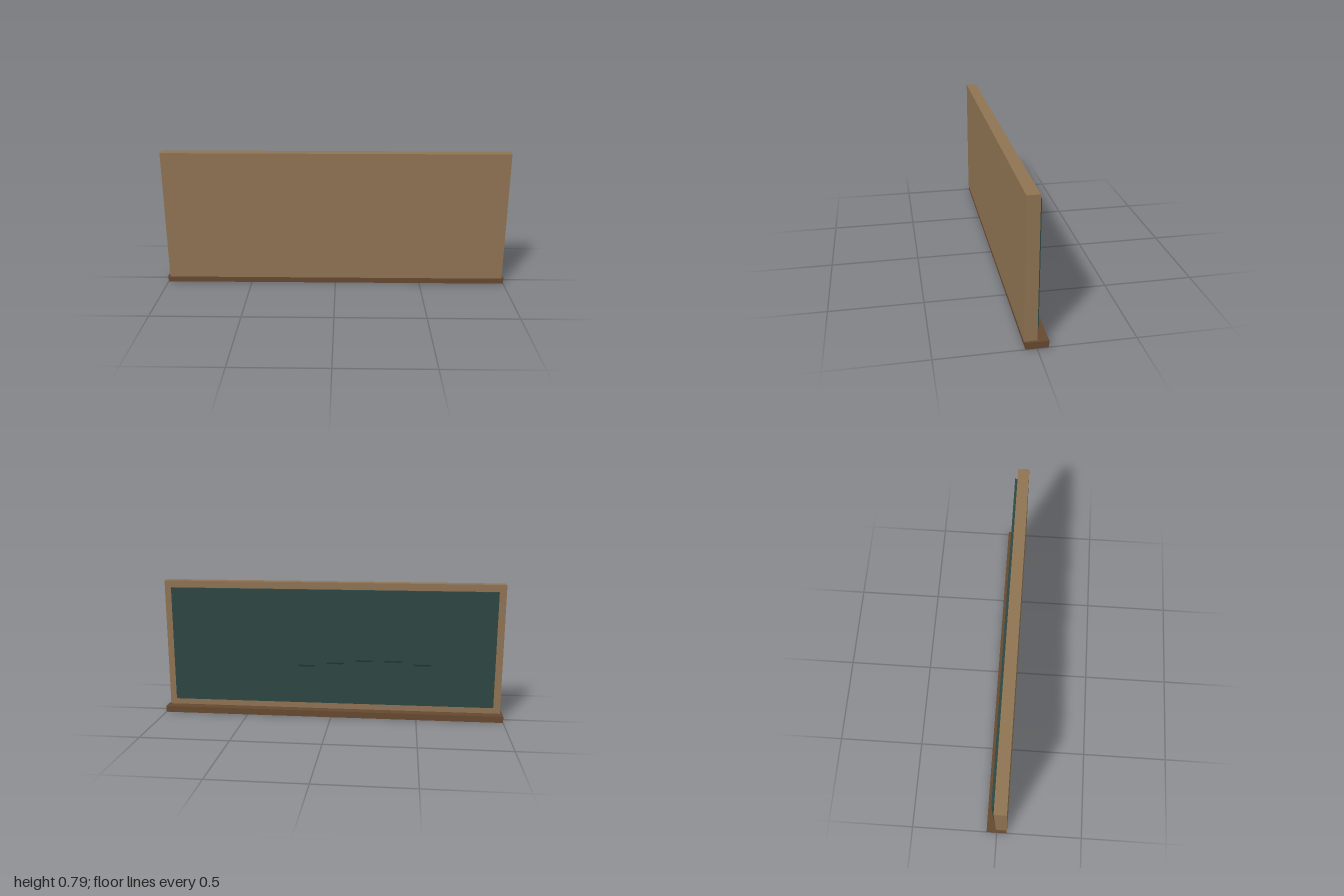
import * as THREE from 'three';

export function createModel() {
  const group = new THREE.Group();
  const mat = (name, color) => {
    const m = new THREE.MeshStandardMaterial({ color });
    m.name = name;
    return m;
  };
  const wood = mat('light wood', 0x8e7352);
  const darkWood = mat('dark wood', 0x664930);
  const slate = mat('slate green', 0x2d4742);
  const mark = mat('dark mark', 0x20332f);

  // Box given by its minimum and maximum corners
  const box = (name, material, [x0, y0, z0], [x1, y1, z1]) => {
    const mesh = new THREE.Mesh(new THREE.BoxGeometry(x1 - x0, y1 - y0, z1 - z0), material);
    mesh.position.set((x0 + x1) / 2, (y0 + y1) / 2, (z0 + z1) / 2);
    mesh.name = name;
    group.add(mesh);
  };

  // Wooden backing board, writing panel on its rear face, and ledge below
  box('backingBoard', wood, [-0.987, 0.034, -0.004], [0.987, 0.792, 0.061]);
  box('writingPanel', slate, [-0.945, 0.075, -0.019], [0.945, 0.752, -0.004]);
  box('ledge', darkWood, [-1, 0, -0.059], [1, 0.037, 0.057]);

  // Row of short written strokes at staggered heights
  const heights = [0.32, 0.338, 0.338, 0.32, 0.302];
  heights.forEach((y, i) => {
    const x = -0.53 + i * 0.169;
    box('stroke' + (i + 1), mark, [x - 0.05, y - 0.004, -0.025], [x + 0.05, y + 0.004, -0.018]);
  });

  return group;
}
